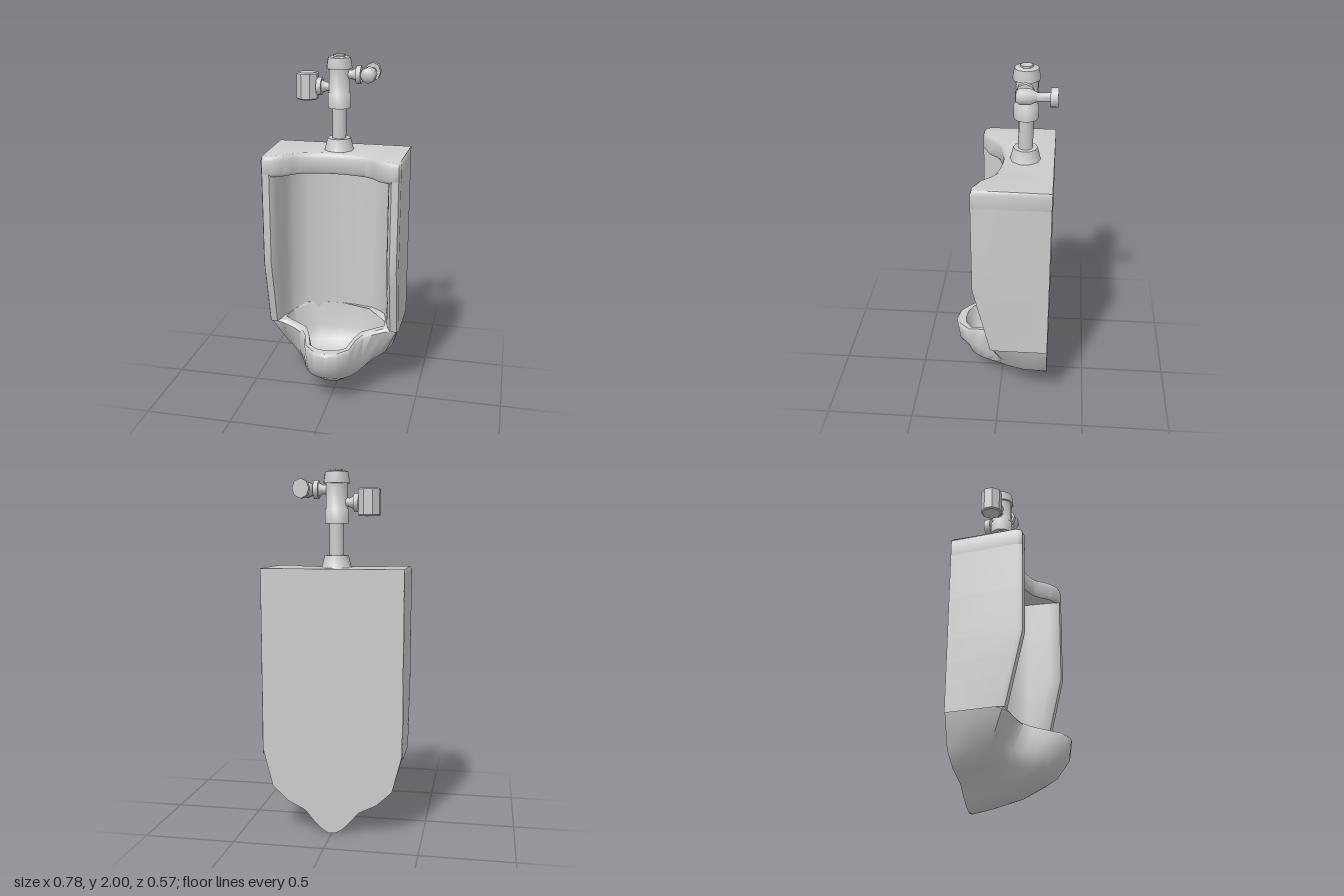
import * as THREE from 'three';
import { toCreasedNormals } from 'three/addons/utils/BufferGeometryUtils.js';

const ceramic = new THREE.MeshStandardMaterial({ color: 0xcccccc, side: THREE.DoubleSide });
const metal = new THREE.MeshStandardMaterial({ color: 0xcccccc });

// Skin through rows of half cross-sections [x, y, z], mirrored to the -x side
function loft(name, rows, crease = 0.7) {
  const full = rows.map(r => [...r, ...r.slice(0, -1).reverse().map(([x, y, z]) => [-x, y, z])]);
  const n = full[0].length, index = [];
  for (let j = 0; j < full.length - 1; j++) {
    for (let i = 0; i < n - 1; i++) {
      const a = j * n + i, b = a + n;
      index.push(a, b, a + 1, a + 1, b, b + 1);
    }
  }
  const g = new THREE.BufferGeometry();
  g.setAttribute('position', new THREE.Float32BufferAttribute(full.flat(2), 3));
  g.setIndex(index);
  const mesh = new THREE.Mesh(toCreasedNormals(g, crease), ceramic);
  mesh.name = name;
  return mesh;
}

// Turned part from a [radius, height] profile
function turned(name, profile, sides, crease = 0.85) {
  const g = new THREE.LatheGeometry(profile.map(p => new THREE.Vector2(...p)), sides);
  const mesh = new THREE.Mesh(toCreasedNormals(g, crease), metal);
  mesh.name = name;
  return mesh;
}

// Bowl: outside from the toe up to the lip, over the lip, and down to the basin floor
function bowl() {
  const rows = [];
  for (const [y, w, d] of [[0.005, 0.02, 0.01], [0.03, 0.06, 0.14], [0.07, 0.1, 0.3], [0.13, 0.15, 0.42]]) {
    rows.push(Array.from({ length: 10 }, (_, i) => {
      const a = i / 9 * Math.PI / 2;
      return [w * Math.cos(a) ** 0.8, y, -0.28 + d * Math.sin(a)];
    }));
  }
  const level = (y, pts) => pts.map(([x, z]) => [x, y, z]);
  rows.push(level(0.18, [[0.25, -0.28], [0.24, -0.17], [0.215, -0.08], [0.19, 0], [0.17, 0.06],
    [0.15, 0.11], [0.125, 0.15], [0.095, 0.18], [0.05, 0.2], [0, 0.205]]));
  rows.push(level(0.26, [[0.335, -0.28], [0.33, -0.15], [0.305, -0.06], [0.26, -0.01], [0.21, 0.03],
    [0.175, 0.08], [0.15, 0.14], [0.12, 0.2], [0.065, 0.255], [0, 0.272]]));
  // lip, outer and inner edge
  const lipY = [0.48, 0.48, 0.45, 0.45, 0.43, 0.415, 0.4, 0.378, 0.374, 0.372];
  const outer = [[0.388, -0.28], [0.388, -0.1], [0.375, 0.03], [0.31, 0.045], [0.235, 0.06],
    [0.19, 0.08], [0.157, 0.125], [0.13, 0.21], [0.07, 0.268], [0, 0.285]];
  const inner = [[0, -0.21], [0.15, -0.197], [0.28, -0.12], [0.3, -0.01], [0.215, 0.02],
    [0.165, 0.035], [0.135, 0.09], [0.105, 0.185], [0.055, 0.217], [0, 0.225]];
  rows.push(outer.map(([x, z], i) => [x, lipY[i] - 0.015, z]));
  rows.push(outer.map(([x, z], i) => [x * 0.97, lipY[i], z - (i > 2 ? 0.012 : 0)]));
  rows.push(inner.map(([x, z], i) => [x, lipY[i], z]));
  // basin
  for (const [y, s] of [[0.33, 0.93], [0.25, 0.8], [0.21, 0.55], [0.2, 0]]) {
    rows.push(inner.map(([x, z]) => [x * s, y, z * s]));
  }
  return loft('bowl', rows, 0.9);
}

// Side wings and the hollow back wall between them
function shell() {
  const rows = [[0.44, 0.045], [0.6, 0.082], [0.72, 0.11], [0.85, 0.14], [1.1, 0.14], [1.37, 0.14]].map(([y, f]) =>
    [[0.39, -0.28], [0.39, f - 0.025], [0.38, f], [0.34, f], [0.325, f - 0.02], [0.315, f - 0.06],
      [0.3, -0.05], [0.28, -0.12], [0.2, -0.18], [0.1, -0.203], [0, -0.21]].map(([x, z]) => [x, y, z]));
  return loft('sideWingsAndBackWall', rows, 0.9);
}

// Top block with its scooped front edge
function topBlock() {
  const edge = [[0.39, -0.28], [0.39, 0.12], [0.38, 0.14], [0.33, 0.14], [0.27, 0.11], [0.225, 0.06],
    [0.18, 0.03], [0.1, 0.01], [0.05, 0.003], [0, 0]];
  const ring = (y, inset) => edge.map(([x, z], i) => [x - (i < 3 ? inset * 0.4 : 0), y, i ? z - inset : z]);
  const back = y => edge.map(([x]) => [x, y, -0.28]);
  return loft('topBlock', [back(1.355), ring(1.355, 0.012), ring(1.37, 0), ring(1.445, 0),
    ring(1.462, 0.007), ring(1.472, 0.022), back(1.472)]);
}

// Flat back that sits against the wall
function backPanel() {
  const half = [[0.39, 1.472], [0.388, 0.465], [0.335, 0.26], [0.25, 0.18], [0.15, 0.13], [0.1, 0.07], [0.06, 0.03], [0.02, 0.005]];
  const pts = [...half, ...half.map(([x, y]) => [-x, y]).reverse()].map(p => new THREE.Vector2(...p));
  const mesh = new THREE.Mesh(new THREE.ShapeGeometry(new THREE.Shape(pts)), ceramic);
  mesh.position.z = -0.28;
  mesh.name = 'backPanel';
  return mesh;
}

// Flush valve: riser, body, side coupling with cylinder, and supply arm to the wall
function flushValve() {
  const valve = new THREE.Group();
  valve.name = 'flushValve';
  valve.position.z = -0.122;
  const add = (mesh, x = 0, y = 0, z = 0, rx = 0, rz = 0) => {
    mesh.position.set(x, y, z);
    mesh.rotation.set(rx, 0, rz);
    valve.add(mesh);
  };
  add(turned('flange', [[0.088, 1.465], [0.082, 1.475], [0.066, 1.54], [0, 1.54]], 10));
  add(turned('riserPipe', [[0.04, 1.53], [0.04, 1.72]], 12));
  add(turned('valveBody', [[0, 1.71], [0.066, 1.71], [0.066, 1.785], [0.06, 1.792], [0.06, 1.925],
    [0.072, 1.925], [0.072, 1.935], [0.064, 1.985], [0.055, 1.99], [0, 1.99]], 12));
  add(turned('topButton', [[0.035, 1.985], [0.035, 2], [0, 2]], 6));

  const coupling = [[0.03, 0.04], [0.024, 0.07], [0.036, 0.097], [0.05, 0.097], [0.05, 0.124], [0, 0.124]];
  add(turned('leftCoupling', coupling, 8), 0, 1.893, 0, 0, -Math.PI / 2);
  add(turned('rightCoupling', coupling, 8), 0, 1.823, 0, 0, Math.PI / 2);
  const cylinder = turned('vacuumCylinder', [[0, -0.075], [0.055, -0.075], [0.063, -0.068], [0.063, 0.068],
    [0.055, 0.075], [0, 0.075]], 8, 0.5);
  add(cylinder, -0.18, 1.825, 0);
  cylinder.rotation.y = Math.PI / 8;

  // elbow, pipe and wall cap run towards the back
  add(turned('supplyElbow', [[0, -0.046], [0.03, -0.044], [0.044, -0.025], [0.044, 0.025], [0.026, 0.062]], 8, 1),
    0.163, 1.893, 0, -Math.PI / 2);
  add(turned('supplyPipe', [[0.024, 0.05], [0.024, 0.13]], 10), 0.163, 1.893, 0, -Math.PI / 2);
  add(turned('wallCap', [[0, 0.128], [0.048, 0.128], [0.048, 0.167], [0, 0.167]], 8), 0.163, 1.893, 0, -Math.PI / 2);
  valve.getObjectByName('wallCap').scale.set(0.95, 1, 1.1);
  return valve;
}

export function createModel() {
  const model = new THREE.Group();
  model.name = 'urinal';
  model.add(bowl(), shell(), topBlock(), backPanel(), flushValve());
  const drain = turned('drainCover', [[0.062, 0.19], [0.062, 0.215], [0.05, 0.222], [0, 0.222]], 8);
  drain.position.set(0.028, 0, -0.012);
  model.add(drain);
  return model;
}
